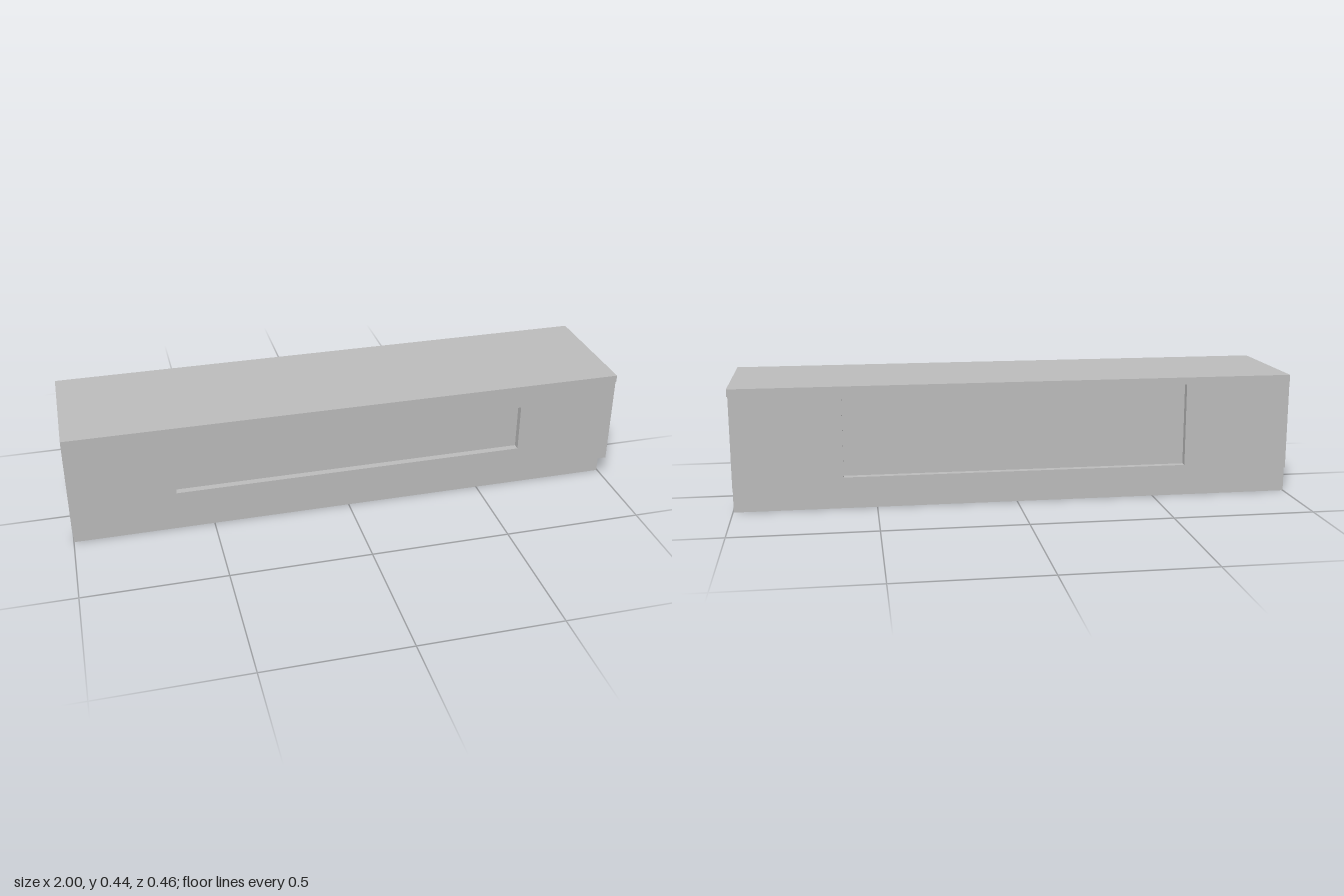
import * as THREE from 'three';

const LEFT = -1, RIGHT = 0.997;
const BOTTOM = 0.09, SLAB = 0.413, TOP = 0.438;
const FRONT = 0.23, BACK = -0.227, RECESS = 0.025;

export function createModel() {
  const group = new THREE.Group();
  const grey = new THREE.MeshStandardMaterial({ color: 0xbfbfbf });
  grey.name = 'light grey';

  const add = (name, geometry) => {
    const mesh = new THREE.Mesh(geometry, grey);
    mesh.name = name;
    group.add(mesh);
    return mesh;
  };

  // box given by its limits along each axis
  const box = (name, x0, x1, y0, y1, z0, z1) =>
    add(name, new THREE.BoxGeometry(x1 - x0, y1 - y0, z1 - z0))
      .position.set((x0 + x1) / 2, (y0 + y1) / 2, (z0 + z1) / 2);

  const polygon = (points) => points.map(([x, y]) => new THREE.Vector2(x, y));
  const panel = (name, shape, z) =>
    add(name, new THREE.ExtrudeGeometry(shape, { depth: RECESS, bevelEnabled: false }))
      .position.z = z;

  // cabinet core and the top slab that overhangs it slightly
  box('cabinetCore', LEFT, RIGHT, BOTTOM, SLAB, BACK + RECESS, FRONT - RECESS);
  box('topSlab', -1, 1, SLAB, TOP, -0.23, FRONT);

  // front panel with a long niche
  const front = new THREE.Shape(polygon([[LEFT, BOTTOM], [RIGHT, BOTTOM], [RIGHT, SLAB], [LEFT, SLAB]]));
  front.holes.push(new THREE.Path(polygon([[-0.633, 0.182], [-0.633, 0.354], [0.631, 0.354], [0.631, 0.182]])));
  panel('frontPanel', front, FRONT - RECESS);

  // back panel, its niche reaching up to the slab
  const back = new THREE.Shape(polygon([
    [LEFT, BOTTOM], [RIGHT, BOTTOM], [RIGHT, SLAB], [0.615, SLAB],
    [0.615, 0.114], [-0.615, 0.114], [-0.615, SLAB], [LEFT, SLAB],
  ]));
  panel('backPanel', back, BACK);

  // full-length base boards
  box('frontBaseBoard', LEFT, RIGHT, 0, BOTTOM, 0.148, 0.173);
  box('backBaseBoard', LEFT, RIGHT, 0, BOTTOM, -0.217, -0.193);

  return group;
}
